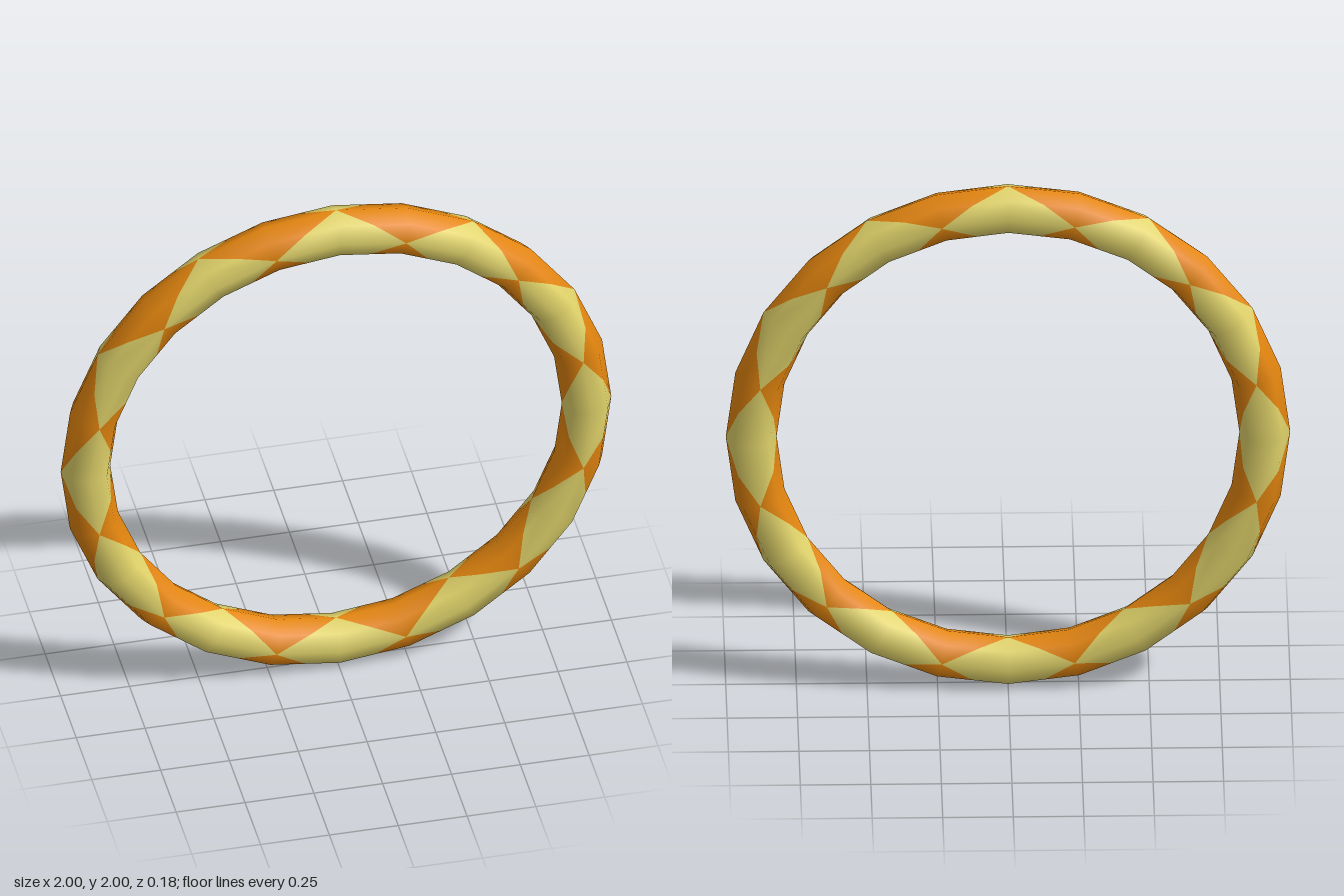
import * as THREE from 'three';

const RING = 0.91, TUBE = 0.09, SEGMENTS = 24, SIDES = 8;

// Point and smooth normal on the ring at grid position (i around the ring, j around the tube)
function gridPoint(i, j) {
  const a = (i / SEGMENTS) * Math.PI * 2, t = (j / SIDES) * Math.PI * 2;
  const n = new THREE.Vector3(Math.cos(t) * Math.cos(a), Math.cos(t) * Math.sin(a), Math.sin(t));
  const p = new THREE.Vector3(RING * Math.cos(a), RING * Math.sin(a), 0).addScaledVector(n, TUBE);
  return { p, n };
}

function midPoint(a, b) {
  return { p: a.p.clone().lerp(b.p, 0.5), n: a.n.clone().lerp(b.n, 0.5).normalize() };
}

function buildMesh(name, corners, material) {
  const geometry = new THREE.BufferGeometry();
  geometry.setAttribute('position', new THREE.Float32BufferAttribute(corners.flatMap((c) => c.p.toArray()), 3));
  geometry.setAttribute('normal', new THREE.Float32BufferAttribute(corners.flatMap((c) => c.n.toArray()), 3));
  const mesh = new THREE.Mesh(geometry, material);
  mesh.name = name;
  return mesh;
}

export function createModel() {
  const orange = new THREE.MeshStandardMaterial({ color: 0xe6870f });
  orange.name = 'orange';
  const yellow = new THREE.MeshStandardMaterial({ color: 0xe3d56b });
  yellow.name = 'pale yellow';

  const orangeCorners = [], yellowCorners = [];
  const addFan = (list, points, flip) => {
    for (let k = 1; k < points.length - 1; k++) {
      list.push(...(flip ? [points[0], points[k + 1], points[k]] : [points[0], points[k], points[k + 1]]));
    }
  };

  // Each block is one ring segment by a quarter of the tube, cut by a diagonal into the two colours;
  // mirrored blocks join up into diamonds
  for (let i = 0; i < SEGMENTS; i += 2) {
    for (const di of [-1, 1]) {
      for (const j of [0, SIDES / 2]) {
        for (const dj of [-1, 1]) {
          const flip = di * dj < 0;
          const at = (u, v) => gridPoint(i + di * u, j + dj * v);
          const a = at(0, 0), b = at(1, 0), c = at(0, 1), d = at(1, 1), e = at(0, 2), f = at(1, 2);
          const m = midPoint(c, d);
          addFan(orangeCorners, [a, b, d, m], flip);
          addFan(orangeCorners, [m, d, f], flip);
          addFan(yellowCorners, [a, m, c], flip);
          addFan(yellowCorners, [c, m, f, e], flip);
        }
      }
    }
  }

  // Upright ring standing on the ground
  const ring = new THREE.Group();
  ring.name = 'ring';
  ring.add(buildMesh('orangeDiamonds', orangeCorners, orange), buildMesh('yellowDiamonds', yellowCorners, yellow));
  ring.position.y = 1;

  const model = new THREE.Group();
  model.name = 'patternedHoop';
  model.add(ring);
  return model;
}
